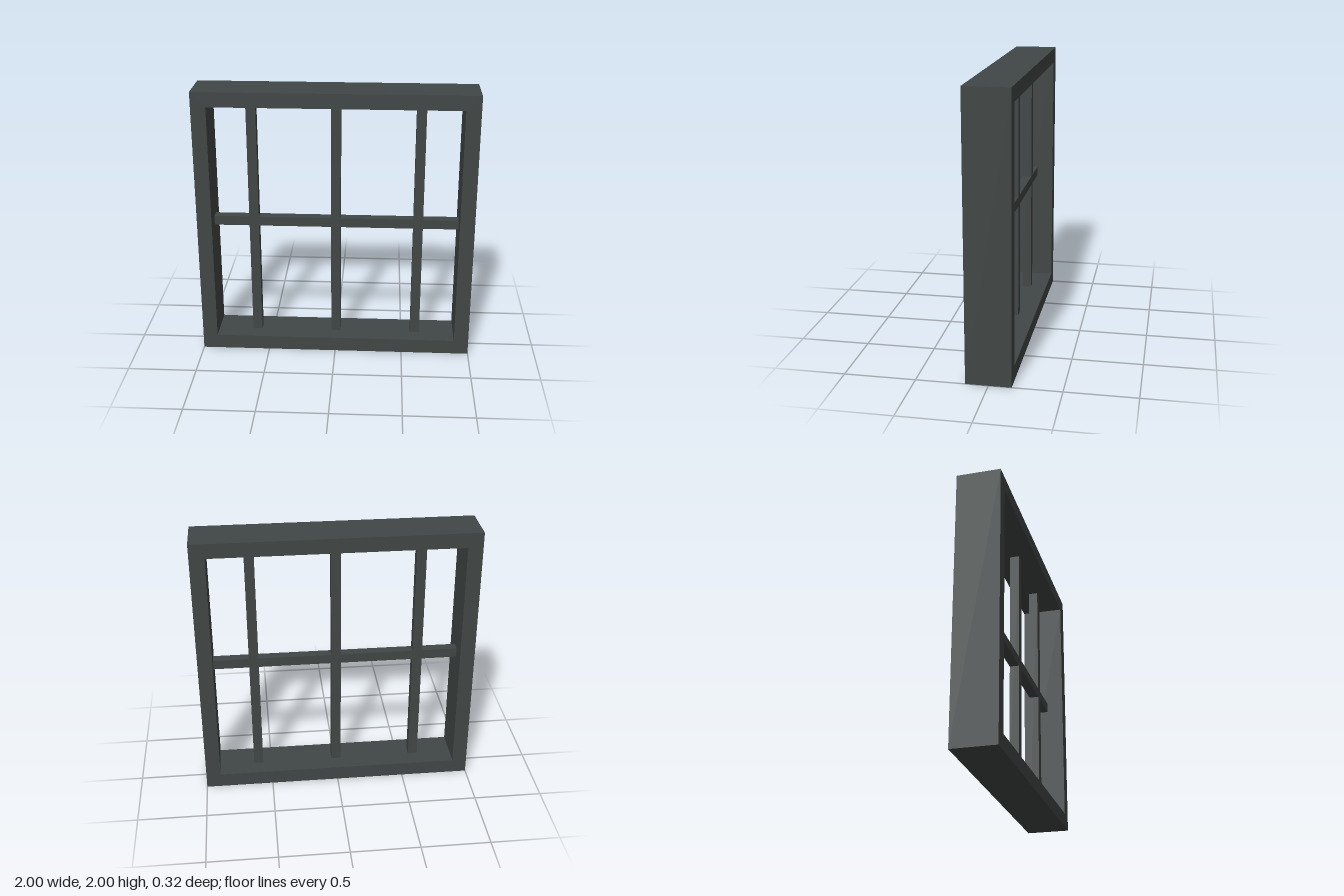
import * as THREE from 'three';

const SIZE = 2, DEPTH = 0.316, BORDER = 0.107, BAR = 0.07;
const INNER = SIZE - 2 * BORDER;

// Square outline centred on (0, 1)
function square(PathType, side) {
  const h = side / 2;
  return new PathType([
    new THREE.Vector2(-h, 1 - h), new THREE.Vector2(h, 1 - h),
    new THREE.Vector2(h, 1 + h), new THREE.Vector2(-h, 1 + h),
  ]);
}

export function createModel() {
  const group = new THREE.Group();
  group.name = 'windowFrame';
  const paint = new THREE.MeshStandardMaterial({ color: 0x414746 });
  paint.name = 'dark grey paint';

  const add = (name, geometry, x = 0, y = 0, z = 0) => {
    const mesh = new THREE.Mesh(geometry, paint);
    mesh.name = name;
    mesh.position.set(x, y, z);
    group.add(mesh);
  };

  // Outer frame with a square opening
  const outline = square(THREE.Shape, SIZE);
  outline.holes.push(square(THREE.Path, INNER));
  const frame = new THREE.ExtrudeGeometry(outline, { depth: DEPTH, bevelEnabled: false });
  add('outerFrame', frame, 0, 0, -DEPTH / 2);

  // Three upright glazing bars
  const upright = new THREE.BoxGeometry(BAR, INNER, BAR);
  [['right', -0.6], ['centre', 0], ['left', 0.6]].forEach(([side, x]) =>
    add(side + 'UprightBar', upright, x, 1));

  // Horizontal glazing bar across the middle
  add('crossBar', new THREE.BoxGeometry(INNER, BAR, BAR), 0, 1);

  return group;
}
